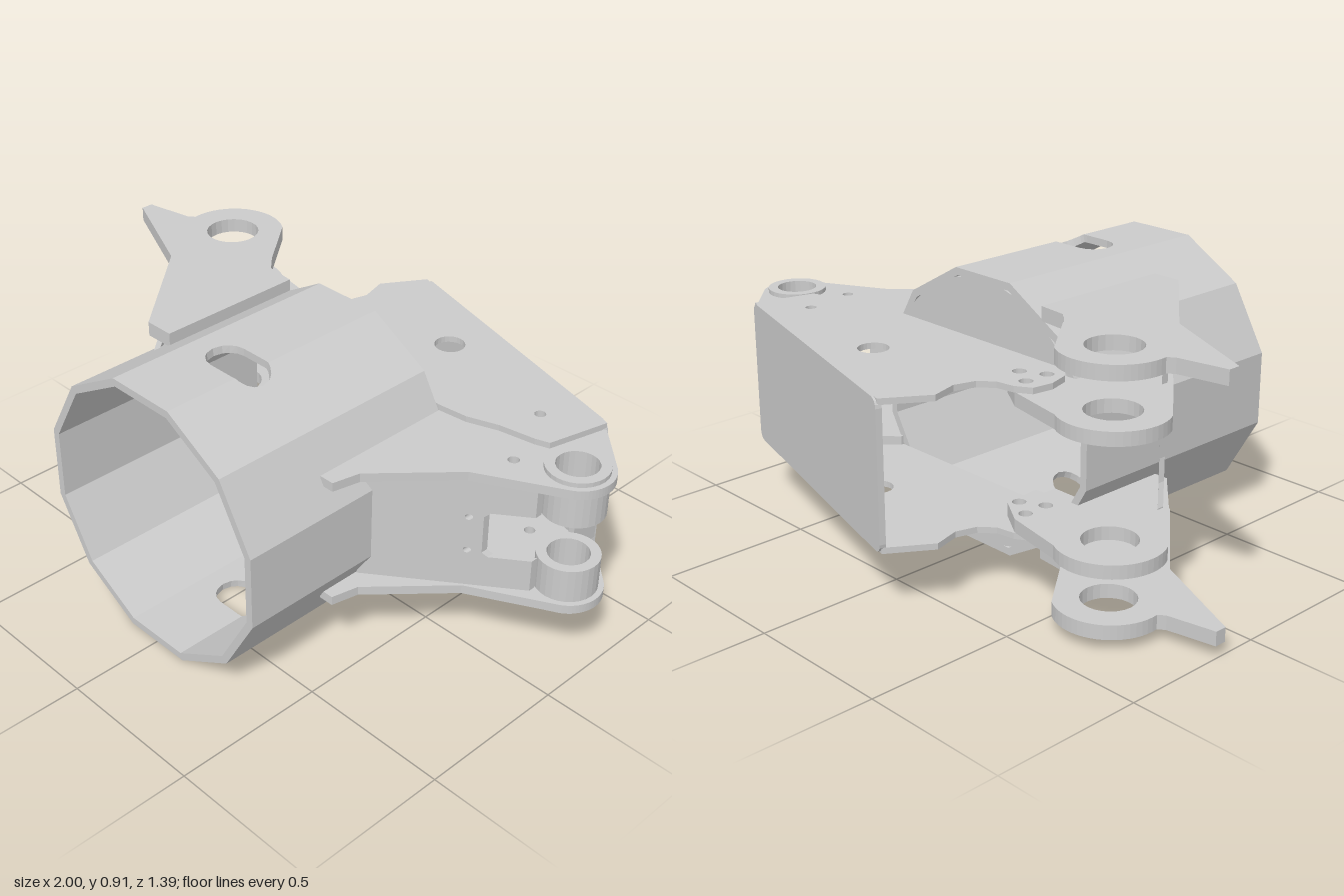
import * as THREE from 'three';

const MID = 0.455; // height of the tube axis
const mat = new THREE.MeshStandardMaterial({ color: 0xcccccc, flatShading: true, side: THREE.DoubleSide });
const rad = THREE.MathUtils.degToRad;

// points along an arc, angles in degrees
function arc(cx, cy, r, a0, a1, n = 20) {
  return Array.from({ length: n + 1 }, (_, i) => {
    const a = rad(a0 + ((a1 - a0) * i) / n);
    return [cx + r * Math.cos(a), cy + r * Math.sin(a)];
  });
}

// extruded outline with round holes [x, y, r]
function slab(pts, holes, depth) {
  const shape = new THREE.Shape(pts.map(([x, y]) => new THREE.Vector2(x, y)));
  for (const [x, y, r] of holes) {
    const hole = new THREE.Path();
    hole.absarc(x, y, r, 0, Math.PI * 2, true);
    shape.holes.push(hole);
  }
  return new THREE.ExtrudeGeometry(shape, { depth, bevelEnabled: false, curveSegments: 12 });
}

function add(group, name, geometry) {
  const mesh = new THREE.Mesh(geometry, mat);
  mesh.name = name;
  group.add(mesh);
  return mesh;
}

// horizontal plate given in (x, z), made at y0 and mirrored about the tube axis
function platePair(group, name, pts, holes, y0, t) {
  const flip = ([x, z, ...r]) => [x, -z, ...r];
  const geo = slab(pts.map(flip), holes.map(flip), t).rotateX(-Math.PI / 2);
  add(group, name + 'Upper', geo).position.y = y0;
  add(group, name + 'Lower', geo).position.y = 2 * MID - y0 - t;
}

// upright web drawn in (x, y) and slanted so that z follows a line in x
function web(group, name, pts, holes, zOf) {
  const geo = slab(pts, holes, 0.025);
  const p = geo.attributes.position;
  for (let i = 0; i < p.count; i++) p.setZ(i, p.getZ(i) + zOf(p.getX(i)));
  geo.computeVertexNormals();
  add(group, name, geo);
}

// twelve-sided tube wall with a rounded slot at top and bottom
function tubeGeometry() {
  const zBack = -0.13, zFront = 0.69, slotX = 0.06, slotZ = 0.375, r = 0.065, straight = 0.045;
  const step = Math.PI / 6;
  const radius = a => 0.455 / Math.cos(a - Math.round(a / step) * step);
  const half = a => {
    const d = Math.max(0, Math.abs(0.455 * Math.cos(a) - slotX) - straight);
    return Math.abs(Math.sin(a)) < 0.8 || d > r - 1e-4 ? 0 : Math.sqrt(r * r - d * d);
  };
  const angles = [];
  for (let k = 0; k < 12; k++) angles.push((k - 5.5) * step);
  for (const d of [0.045, 0.07, 0.09, 0.103, 0.11])
    for (const s of [-1, 1]) {
      const a = Math.acos((slotX + s * d) / 0.455);
      angles.push(a, -a);
    }
  angles.sort((a, b) => a - b);
  angles.push(angles[0] + Math.PI * 2);

  const pos = [];
  const quad = (a, b, c, d) => pos.push(...a, ...b, ...c, ...a, ...c, ...d);
  const pt = (a, z, k) => [k * radius(a) * Math.cos(a), MID + k * radius(a) * Math.sin(a), z];
  const inner = 0.945;
  for (let i = 0; i + 1 < angles.length; i++) {
    const a = angles[i], b = angles[i + 1], ha = half(a), hb = half(b);
    const pieces = [[zBack, zBack, slotZ - ha, slotZ - hb], [slotZ + ha, slotZ + hb, zFront, zFront]];
    pieces.forEach(([a0, b0, a1, b1], k) => {
      quad(pt(a, a0, 1), pt(b, b0, 1), pt(b, b1, 1), pt(a, a1, 1));
      quad(pt(a, a1, inner), pt(b, b1, inner), pt(b, b0, inner), pt(a, a0, inner));
      const cut = ha + hb > 0;
      if (k === 1 || cut) quad(pt(a, a1, 1), pt(b, b1, 1), pt(b, b1, inner), pt(a, a1, inner));
      if (k === 0 || cut) quad(pt(a, a0, inner), pt(b, b0, inner), pt(b, b0, 1), pt(a, a0, 1));
    });
  }
  const geo = new THREE.BufferGeometry();
  geo.setAttribute('position', new THREE.Float32BufferAttribute(pos, 3));
  geo.computeVertexNormals();
  return geo;
}

export function createModel() {
  const model = new THREE.Group();
  model.name = 'tubeBracket';

  // main tube and the end walls above and below the channel
  add(model, 'mainTube', tubeGeometry());
  add(model, 'endWallUpper', slab(arc(0, MID, 0.44, 32, 148), [], 0.015)).position.z = -0.13;
  add(model, 'endWallLower', slab(arc(0, MID, 0.44, 212, 328), [], 0.015)).position.z = -0.13;

  // folded channel: two plates joined by a slanted back panel
  const bolts = [[-0.355, -0.285, 0.022], [-0.28, -0.24, 0.022], [-0.355, -0.2, 0.022]];
  platePair(model, 'channelPlate', [
    [-0.17, -0.69], [0.815, -0.415], [0.765, -0.21], [0.72, -0.195], [0.6, -0.175], [0.5, -0.14], [0.4, -0.13],
    [-0.36, -0.13], [-0.4, -0.17], [-0.42, -0.24], [-0.41, -0.31], [-0.36, -0.34],
    [-0.3, -0.35], [-0.255, -0.39], [-0.235, -0.46], [-0.26, -0.55],
  ], [[0.18, -0.42, 0.05], [0.645, -0.31, 0.018], ...bolts], 0.678, 0.02);
  const back = slab([
    ...arc(0.03, 0.03, 0.03, 180, 270, 4), ...arc(1.0, 0.03, 0.03, 270, 360, 4),
    ...arc(1.0, 0.455, 0.03, 0, 90, 4), ...arc(0.03, 0.455, 0.03, 90, 180, 4),
  ], [], 0.02);
  const panel = add(model, 'channelBackPanel', back);
  panel.position.set(-0.172, 0.213, -0.698);
  panel.rotation.y = -Math.atan2(0.28, 0.99);

  // notched end flange of the channel
  const flange = slab([
    [0.3, 0.3], [0.33, 0.28], [0.41, 0.28], [0.41, 0.63], [0.33, 0.63], [0.3, 0.61], [0.3, 0.535], [0.37, 0.535],
    [0.37, 0.49], ...arc(0.37, MID, 0.03, 90, -90, 8), [0.37, 0.375], [0.3, 0.375],
  ], [], 0.02).rotateY(Math.PI / 2);
  add(model, 'channelEndFlange', flange).position.x = 0.8;

  // left-hand pivot arms with their bosses
  platePair(model, 'pivotArm', [
    [0.4, 0.37], [0.45, 0.37], [0.47, 0.28], [0.68, 0.05],
    ...arc(0.885, -0.19, 0.115, 62, -45), [0.82, -0.41], [0.62, -0.35], [0.4, -0.14],
  ], [[0.885, -0.19, 0.066], [0.73, -0.09, 0.018], [0.645, -0.31, 0.018]], 0.648, 0.03);
  platePair(model, 'pivotBoss', arc(0.885, -0.19, 0.098, 0, 360, 28).slice(0, -1),
    [[0.885, -0.19, 0.066]], 0.535, 0.158);
  web(model, 'pivotWeb', [
    [0.42, 0.265], [0.84, 0.265], [0.84, 0.375], [0.735, 0.375], [0.72, 0.39],
    [0.72, 0.52], [0.735, 0.535], [0.84, 0.535], [0.84, 0.65], [0.42, 0.65], [0.45, MID],
  ], [[0.685, 0.395, 0.01], [0.685, 0.515, 0.01]], x => 0.19 - 0.74 * (x - 0.45));

  // outer and inner ears on the other side
  const eye = [-0.65, -0.23, 0.087];
  platePair(model, 'outerEar', [
    [-1, -0.16], [-0.97, -0.165], [-0.84, -0.19], ...arc(-0.65, -0.23, 0.17, 172, 305),
    [-0.41, -0.19], [-0.36, -0.14], [-0.26, -0.13], [-0.26, 0.37], [-0.36, 0.37], [-0.65, 0.04], [-1, -0.12],
  ], [eye], 0.823, 0.047);
  platePair(model, 'innerEar', [
    ...arc(-0.65, -0.23, 0.17, 150, 300), [-0.36, -0.335], [-0.26, -0.27], [-0.25, -0.14],
    [-0.405, -0.13], [-0.405, 0.22], [-0.47, 0.22], [-0.62, 0.06],
  ], [eye, ...bolts], 0.634, 0.044);

  // slanted web between the outer ears, shaped around the tube
  web(model, 'earWeb', [
    ...arc(0, MID, 0.46, 130, 230), [-0.6, 0.1], [-0.61, 0.11],
    [-0.61, 0.28], [-0.575, 0.34], [-0.558, 0.41], [-0.558, 0.5], [-0.575, 0.57], [-0.61, 0.63],
    [-0.61, 0.81],
  ], [[-0.54, 0.41, 0.012], [-0.54, 0.51, 0.012]], x => 0.02 + 1.15 * (x + 0.61));

  return model;
}
